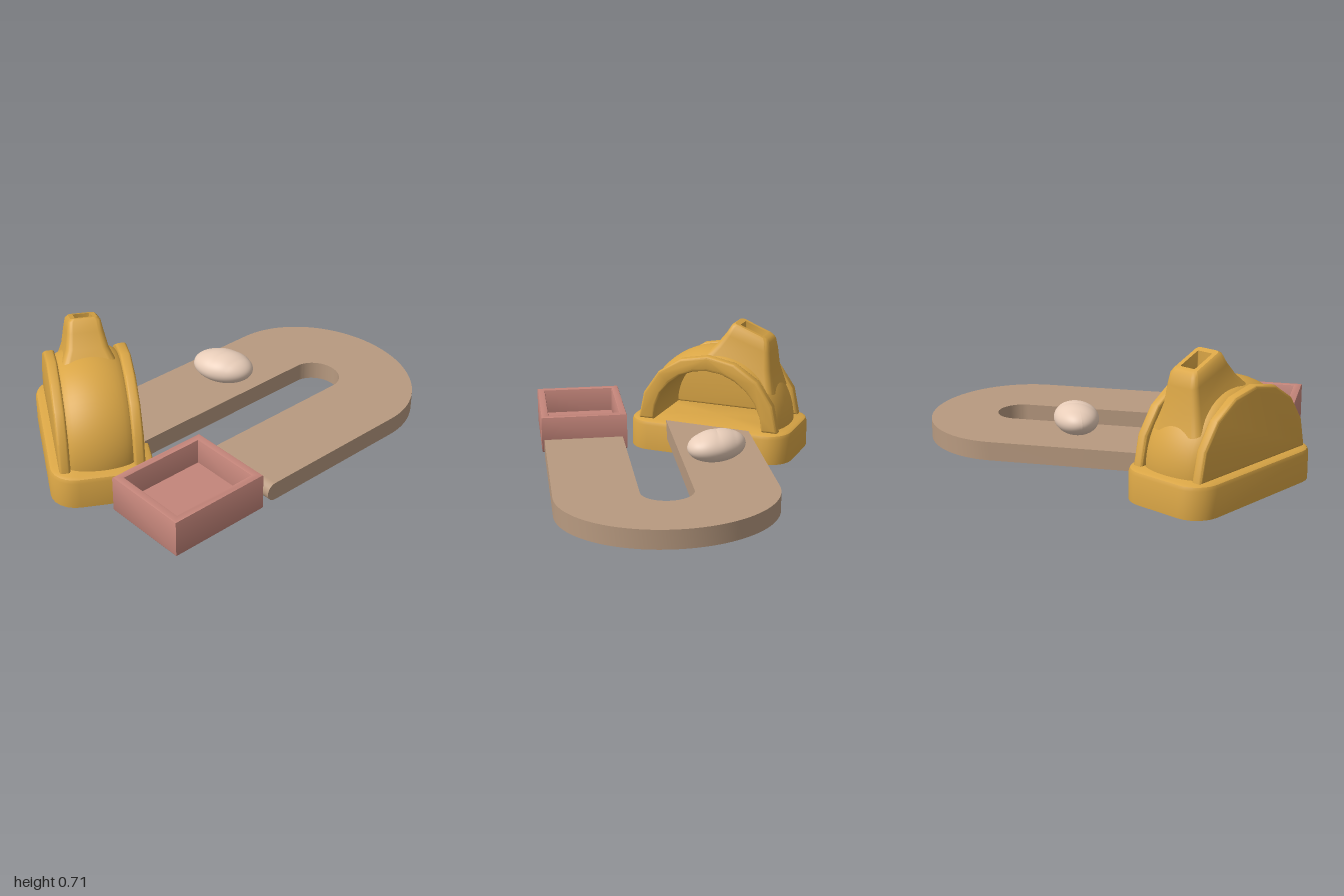
import * as THREE from 'three';
import { toCreasedNormals } from 'three/addons/utils/BufferGeometryUtils.js';
import { ParametricGeometry } from 'three/addons/geometries/ParametricGeometry.js';

const paint = (color) => new THREE.MeshStandardMaterial({ color, side: THREE.DoubleSide });

function add(parent, name, geometry, material, x = 0, y = 0, z = 0) {
  const mesh = new THREE.Mesh(geometry, material);
  mesh.name = name;
  mesh.position.set(x, y, z);
  parent.add(mesh);
  return mesh;
}

// Skin over stacked rounded rectangles; slope tilts a ring along x
function loft(rings, crease = 0.7) {
  const pos = [], index = [], seg = 6, n = 4 * (seg + 1);
  for (const { x = 0, y, hx, hz, r, slope = 0 } of rings) {
    for (let c = 0; c < 4; c++) {
      const sx = c === 0 || c === 3 ? 1 : -1, sz = c < 2 ? 1 : -1;
      for (let k = 0; k <= seg; k++) {
        const a = (c + k / seg) * Math.PI / 2;
        const dx = sx * (hx - r) + r * Math.cos(a);
        pos.push(x + dx, y + slope * dx, sz * (hz - r) + r * Math.sin(a));
      }
    }
  }
  for (let i = 0; i < rings.length - 1; i++) {
    for (let j = 0; j < n; j++) {
      const a = i * n + j, b = i * n + (j + 1) % n;
      index.push(a, a + n, b, b, a + n, b + n);
    }
  }
  const g = new THREE.BufferGeometry();
  g.setAttribute('position', new THREE.Float32BufferAttribute(pos, 3));
  g.setIndex(index);
  return toCreasedNormals(g, crease);
}

// Half-ellipse points from right to left
const archPoints = (hw, h, seg) => Array.from({ length: seg + 1 }, (_, i) => {
  const a = i / seg * Math.PI;
  return new THREE.Vector2(hw * Math.cos(a), h * Math.sin(a));
});

// Arch plate across the vault, centred on its thickness
function archPlate(points, thickness) {
  const b = 0.014;
  const g = new THREE.ExtrudeGeometry(new THREE.Shape(points), {
    depth: thickness - 2 * b, bevelSize: b, bevelThickness: b, bevelOffset: -b, bevelSegments: 3,
  });
  g.translate(0, 0, b - thickness / 2);
  return toCreasedNormals(g, 0.6);
}

// Half-elliptical barrel whose radius changes along z
function barrel(halfLength, size) {
  return new ParametricGeometry((u, v, p) => {
    const a = u * Math.PI, [hw, h] = size(v);
    p.set(hw * Math.cos(a), h * Math.sin(a), (v * 2 - 1) * halfLength);
  }, 32, 16);
}

function createOven() {
  const oven = new THREE.Group();
  oven.name = 'oven';
  const gold = paint(0xd9a545), floor = 0.163;

  // Hollow plinth, open below
  add(oven, 'ovenBase', loft([
    { y: 0, hx: 0.46, hz: 0.252, r: 0.13 },
    { y: 0.14, hx: 0.46, hz: 0.252, r: 0.13 },
    { y: 0.157, hx: 0.453, hz: 0.245, r: 0.123 },
    { y: 0.165, hx: 0.437, hz: 0.229, r: 0.107 },
    { y: 0.165, hx: 0, hz: 0, r: 0 },
  ]), gold);

  // Bulging vault and its inner lining
  add(oven, 'vault', barrel(0.165, (t) => {
    const s = Math.sqrt(Math.sin(Math.PI * t) + 1e-9);
    return [0.355 + 0.055 * s, 0.335 + 0.065 * s];
  }), gold, 0, floor);
  add(oven, 'vaultLining', barrel(0.18, () => [0.31, 0.305]), gold, 0, floor);

  // Closed front wall and open doorway arch at the back
  const outer = archPoints(0.4, 0.387, 8);
  add(oven, 'frontWall', archPlate(outer, 0.055), gold, 0, floor, 0.18);
  const ring = [...outer, ...archPoints(0.31, 0.305, 12).reverse()];
  add(oven, 'doorArch', archPlate(ring, 0.055), gold, 0, floor, -0.18);

  // Slanted hollow chimney flaring into the vault
  add(oven, 'chimney', loft([
    { x: -0.15, y: 0.44, hx: 0.2, hz: 0.14, r: 0.04, slope: 0.45 },
    { x: -0.165, y: 0.53, hx: 0.155, hz: 0.105, r: 0.035, slope: 0.4 },
    { x: -0.185, y: 0.61, hx: 0.125, hz: 0.09, r: 0.03, slope: 0.35 },
    { x: -0.195, y: 0.66, hx: 0.105, hz: 0.08, r: 0.025, slope: 0.4 },
    { x: -0.195, y: 0.675, hx: 0.09, hz: 0.066, r: 0.02, slope: 0.4 },
    { x: -0.195, y: 0.675, hx: 0.063, hz: 0.043, r: 0.006, slope: 0.4 },
    { x: -0.195, y: 0.57, hx: 0.06, hz: 0.04, r: 0.006 },
    { x: -0.195, y: 0.57, hx: 0, hz: 0, r: 0 },
  ]), gold);

  oven.position.set(-0.26, 0, 0.597);
  oven.rotation.y = -Math.PI / 6;
  return oven;
}

function createConveyor() {
  const conveyor = new THREE.Group();
  conveyor.name = 'conveyor';
  const tan = paint(0xb89a80);
  const cx = 0.18, cz = -0.54, top = 0.175, thick = 0.095;

  // U-shaped belt, its oven end cut along the doorway
  const s = new THREE.Shape();
  s.moveTo(-0.36, 0.265);
  s.lineTo(-0.36, cz);
  s.absellipse(cx, cz, 0.54, 0.46, Math.PI, 2 * Math.PI, false);
  s.lineTo(0.72, 0.268);
  s.lineTo(0.31, 0.268);
  s.lineTo(0.31, cz);
  s.absellipse(cx, cz, 0.13, 0.12, 0, Math.PI, true);
  s.lineTo(0.05, 0.51);
  const g = new THREE.ExtrudeGeometry(s, { depth: thick, bevelEnabled: false, curveSegments: 24 });
  g.rotateX(Math.PI / 2);
  add(conveyor, 'belt', toCreasedNormals(g, 0.6), tan, 0, top);

  // Rounded delivery end
  const roller = new THREE.CylinderGeometry(thick / 2, thick / 2, 0.41, 24).rotateZ(Math.PI / 2);
  add(conveyor, 'beltEnd', roller, tan, 0.515, top - thick / 2, 0.268);
  return conveyor;
}

function createTray() {
  const tray = new THREE.Group();
  tray.name = 'tray';
  const red = paint(0xc4857a), b = 0.008;
  const rect = (path, hx, hz) => path.setFromPoints([[-hx, -hz], [hx, -hz], [hx, hz], [-hx, hz]]
    .map(([x, y]) => new THREE.Vector2(x, y)));

  // Walls with softened rims, then the floor
  const shape = rect(new THREE.Shape(), 0.226, 0.265);
  shape.holes.push(rect(new THREE.Path(), 0.186, 0.223));
  const walls = new THREE.ExtrudeGeometry(shape, {
    depth: 0.192 - 2 * b, bevelSize: b, bevelThickness: b, bevelOffset: -b, bevelSegments: 2,
  });
  walls.rotateX(Math.PI / 2);
  add(tray, 'trayWalls', toCreasedNormals(walls, 0.6), red, 0, 0.27 - b);
  add(tray, 'trayFloor', new THREE.BoxGeometry(0.436, 0.06, 0.514), red, 0, 0.109);
  tray.position.set(0.504, 0, 0.622);
  return tray;
}

function createLoaf() {
  // Ellipsoid with shallow slanted scores across its crust
  const g = new THREE.SphereGeometry(1, 64, 40);
  const p = g.attributes.position;
  for (let i = 0; i < p.count; i++) {
    const x = p.getX(i), y = p.getY(i), z = p.getZ(i);
    const score = Math.pow(Math.abs(Math.sin((x + 0.35 * z) * 5)), 0.6) - 1;
    const k = 1 + 0.04 * score * Math.max(0, y) * (1 - x * x);
    p.setXYZ(i, x * 0.16 * k, y * 0.079 * k, z * 0.112 * k);
  }
  g.computeVertexNormals();
  const loaf = new THREE.Mesh(g, paint(0xe8cdb9));
  loaf.name = 'loaf';
  loaf.position.set(-0.118, 0.257, -0.158);
  loaf.rotation.y = 0.44;
  return loaf;
}

export function createModel() {
  const model = new THREE.Group();
  model.name = 'bakery';
  model.add(createOven(), createConveyor(), createTray(), createLoaf());
  return model;
}
